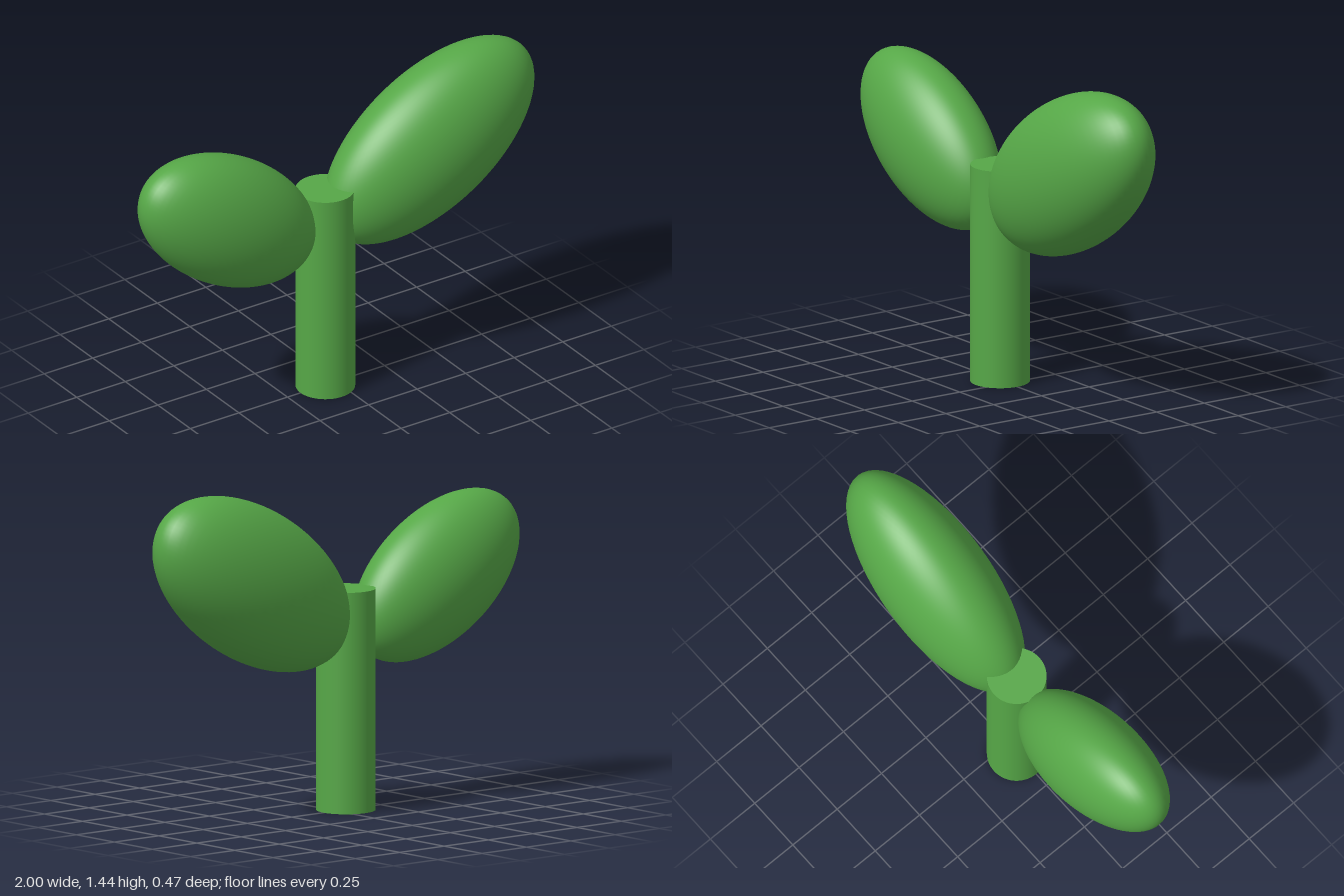
import * as THREE from 'three';

export function createModel() {
  const model = new THREE.Group();
  model.name = 'sprout';

  const leafGreen = new THREE.MeshStandardMaterial({ color: 0x56a747 });
  leafGreen.name = 'leaf green';

  // Upright stem with flat ends
  const height = 0.96;
  const stem = new THREE.Mesh(new THREE.CylinderGeometry(0.128, 0.128, height, 64), leafGreen);
  stem.name = 'stem';
  stem.position.set(-0.055, height / 2, 0);
  model.add(stem);

  // Each leaf is a stretched sphere tilted up and away from the stem
  const addLeaf = (name, x, y, radii, tilt) => {
    const leaf = new THREE.Mesh(new THREE.SphereGeometry(1, 64, 48).scale(...radii), leafGreen);
    leaf.name = name;
    leaf.position.set(x, y, 0);
    leaf.rotation.z = THREE.MathUtils.degToRad(tilt);
    model.add(leaf);
  };
  addLeaf('leftLeaf', 0.477, 1.035, [0.576, 0.323, 0.234], 30.8);
  addLeaf('rightLeaf', -0.563, 0.962, [0.486, 0.285, 0.205], -32.3);

  return model;
}
